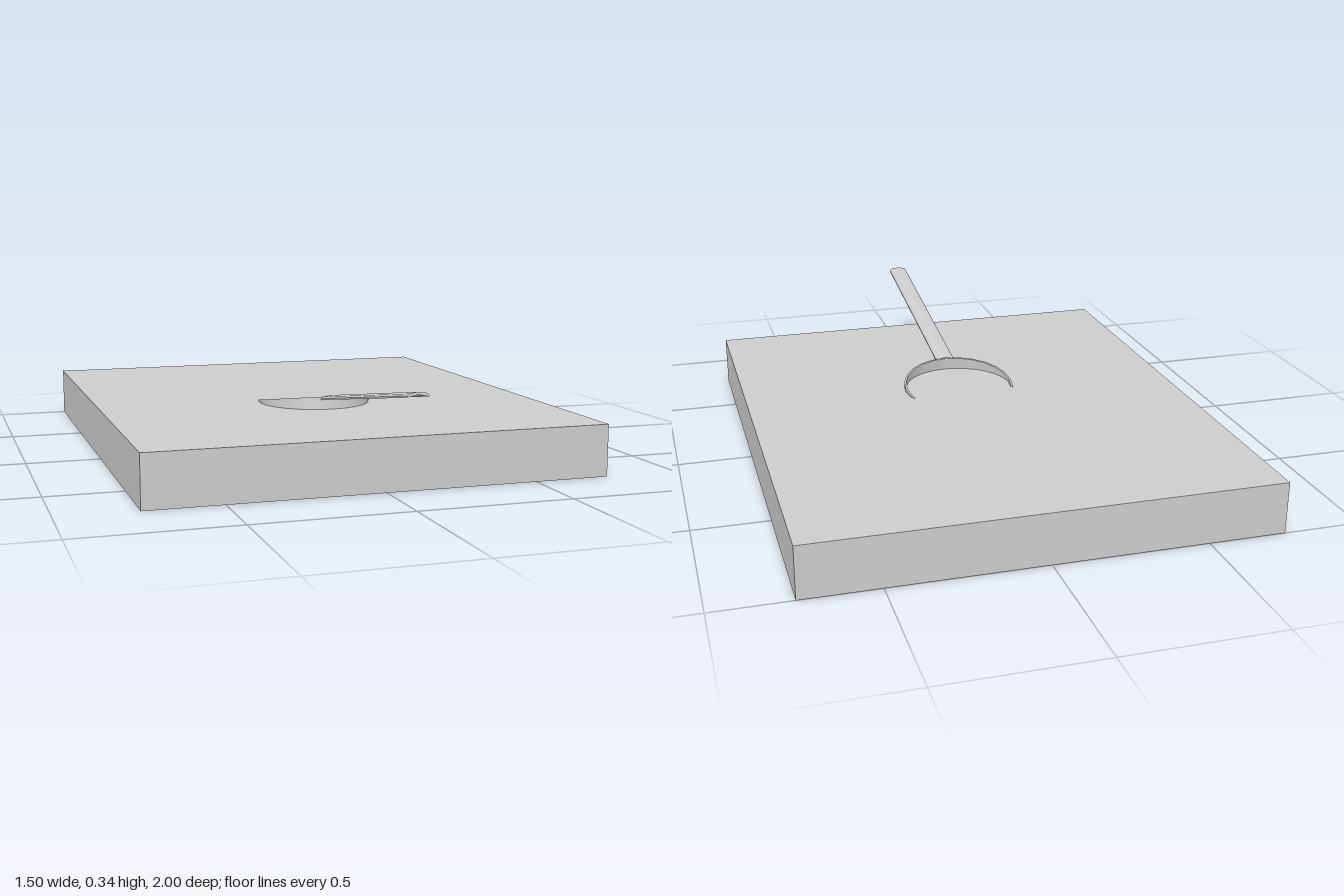
import * as THREE from 'three';
import { toCreasedNormals } from 'three/addons/utils/BufferGeometryUtils.js';

export function createModel() {
  const model = new THREE.Group();
  const grey = new THREE.MeshStandardMaterial({ color: 0xcccccc });
  grey.name = 'plain grey';

  const add = (parent, name, geometry) => {
    const mesh = new THREE.Mesh(geometry, grey);
    mesh.name = name;
    parent.add(mesh);
    return mesh;
  };

  // Slab, reaching further to the back than the front
  add(model, 'slab', new THREE.BoxGeometry(1.5, 0.17, 1.762)).position.set(0, 0.085, -0.119);

  // Tilted pan, partly sunk into the slab
  const pan = new THREE.Group();
  pan.name = 'pan';
  pan.position.set(0, 0.182, 0.03);
  pan.rotation.x = -0.162;
  model.add(pan);

  const bowl = [
    [0, -0.06], [0.192, -0.06], [0.194, 0], [0.187, 0], [0.185, -0.053], [0, -0.053],
  ].map(([r, y]) => new THREE.Vector2(r, y));
  add(pan, 'panBowl', toCreasedNormals(new THREE.LatheGeometry(bowl, 24), 0.6));

  // Handle: a long strip with an arched top and a grooved underside
  const section = [
    [-0.033, -0.011], [0, -0.004], [0.033, -0.011], [0.033, -0.006],
    [0.025, 0], [0, 0.004], [-0.025, 0], [-0.033, -0.006],
  ].map(([x, y]) => new THREE.Vector2(x, y));
  const handle = new THREE.ExtrudeGeometry(new THREE.Shape(section), {
    depth: 0.792, bevelEnabled: false,
  });
  add(pan, 'panHandle', handle).position.z = 0.189;

  return model;
}
